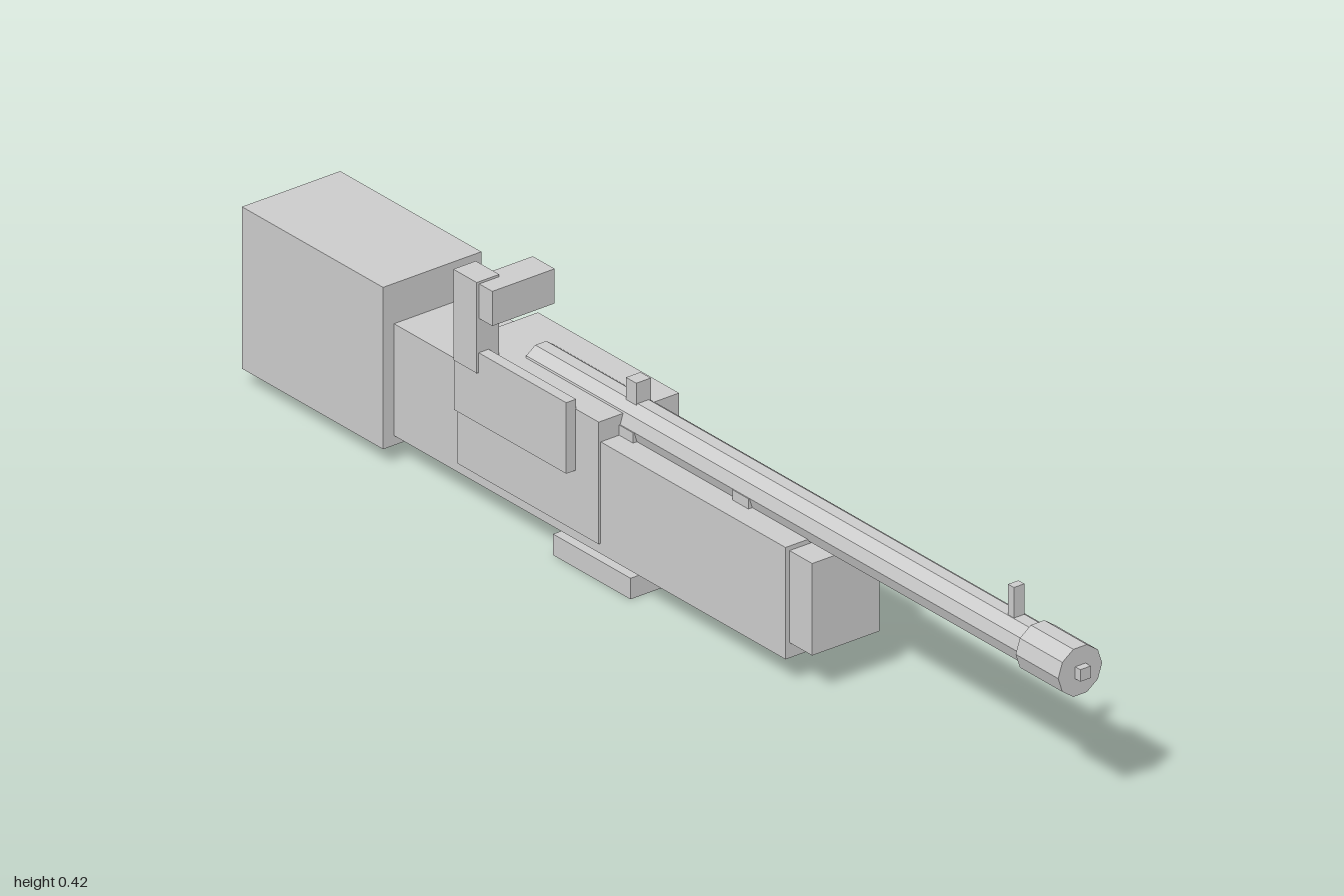
import * as THREE from 'three';

export function createModel() {
  const model = new THREE.Group();
  const material = new THREE.MeshStandardMaterial({ color: 0xcccccc, flatShading: true });

  const add = (name, geometry, x, y, z) => {
    const mesh = new THREE.Mesh(geometry, material);
    mesh.name = name;
    mesh.position.set(x, y, z);
    model.add(mesh);
    return mesh;
  };

  // Box given by its lower and upper limits on each axis
  const box = (name, [x0, x1], [y0, y1], [z0, z1]) =>
    add(name, new THREE.BoxGeometry(x1 - x0, y1 - y0, z1 - z0),
      (x0 + x1) / 2, (y0 + y1) / 2, (z0 + z1) / 2);

  // Faceted cylinder lying along x, at barrel height
  const tube = (name, x0, x1, radius) => {
    const geometry = new THREE.CylinderGeometry(radius, radius, x1 - x0, 10);
    geometry.rotateZ(-Math.PI / 2);
    return add(name, geometry, (x0 + x1) / 2, 0.262, 0);
  };

  // Stock, body and receiver
  box('buttStock', [-1, -0.645], [0.03, 0.315], [-0.1, 0.097]);
  box('body', [-0.645, 0.34], [0.047, 0.244], [-0.077, 0.075]);
  box('receiver', [-0.48, -0.125], [0.065, 0.28], [-0.082, 0.079]);
  box('foreEnd', [0.34, 0.397], [0.074, 0.236], [-0.068, 0.067]);

  // Barrel, muzzle and sights
  tube('barrel', -0.37, 0.885, 0.036);
  tube('muzzle', 0.88, 0.987, 0.044);
  box('muzzlePin', [0.98, 1], [0.251, 0.272], [-0.011, 0.01]);
  box('rearSight', [-0.138, -0.112], [0.285, 0.333], [-0.015, 0.014]);
  box('frontSight', [0.818, 0.833], [0.285, 0.35], [-0.011, 0.01]);
  for (const x of [-0.13, 0.16]) {
    box('barrelLug', [x, x + 0.04], [0.24, 0.262], [-0.039, 0.038]);
  }

  // Bolt handle on the side plate
  box('sidePlate', [-0.465, -0.183], [0.172, 0.297], [0.078, 0.098]);
  box('boltUpright', [-0.462, -0.403], [0.262, 0.422], [0.057, 0.102]);
  box('boltArm', [-0.425, -0.37], [0.357, 0.418], [-0.028, 0.097]);

  // Underside plate and its mount
  box('lowerMount', [-0.335, -0.09], [0.034, 0.05], [-0.023, 0.022]);
  box('lowerPlate', [-0.24, -0.045], [0, 0.037], [-0.082, 0.079]);

  return model;
}
